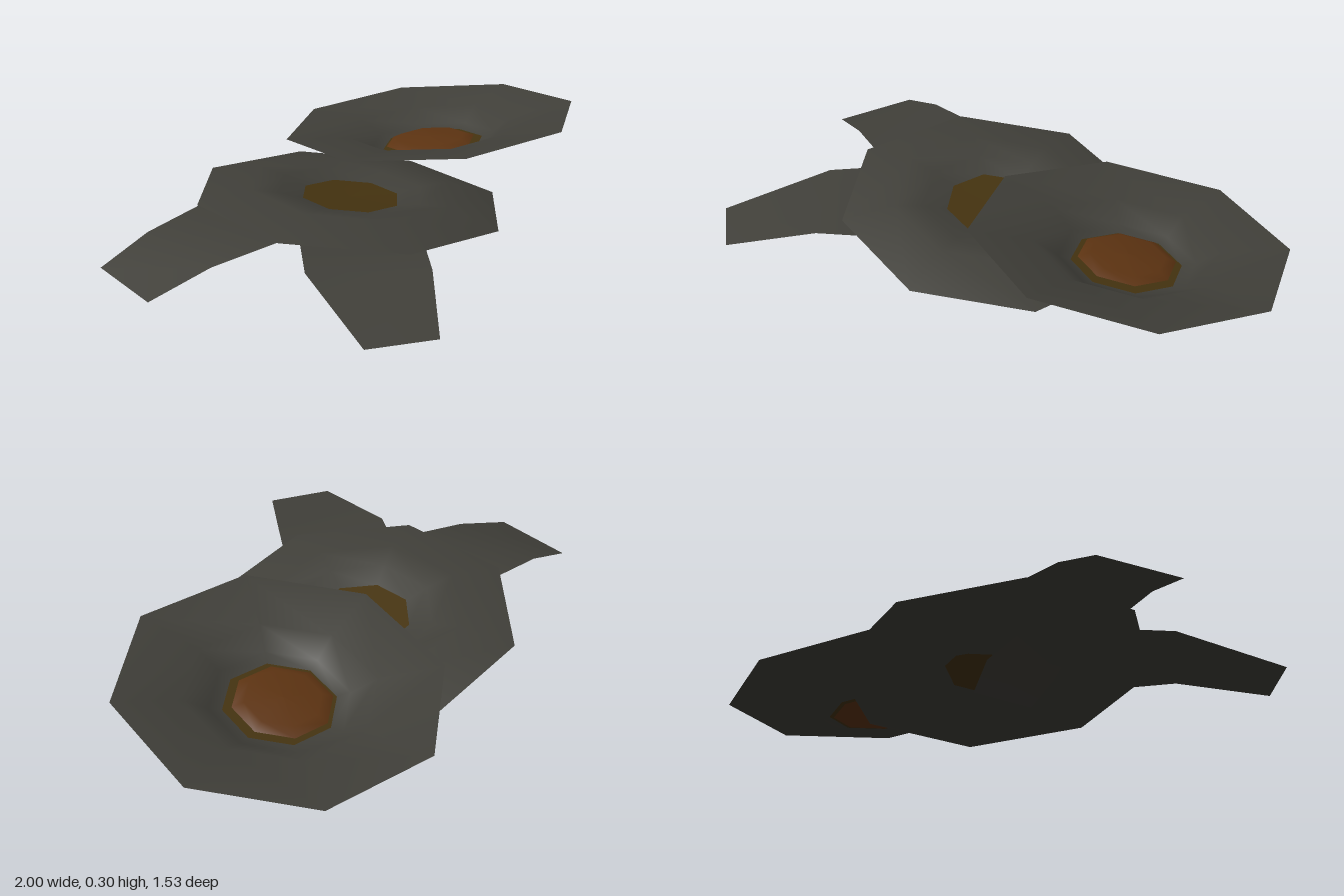
import * as THREE from 'three';

const mat = (name, color) => {
  const m = new THREE.MeshStandardMaterial({ color, side: THREE.DoubleSide });
  m.name = name;
  return m;
};

export function createModel() {
  const model = new THREE.Group();
  const grey = mat('darkGrey', 0x41403a);
  const gold = mat('darkGold', 0x463410);
  const orange = mat('rustOrange', 0x5e3412);

  // Eight-sided surface of revolution; profile runs from the rim inward
  const ring = (name, material, profile, phase) => {
    const pts = profile.map(([r, y]) => new THREE.Vector2(r, y));
    const mesh = new THREE.Mesh(new THREE.LatheGeometry(pts, 8, phase), material);
    mesh.name = name;
    return mesh;
  };

  // Lower dish: raised ring around a shallow gold centre
  const lower = new THREE.Group();
  lower.name = 'lowerDish';
  const pa = Math.PI / 8;
  lower.add(
    ring('lowerDishRim', grey, [[0.548, 0], [0.36, 0.045], [0.26, 0.032], [0.175, 0.01]], pa),
    ring('lowerDishCentre', gold, [[0.175, 0.01], [0.0001, 0.006]], pa),
  );
  lower.position.set(-0.087, 0.125, -0.09);
  lower.rotation.set(-0.012, 0, -0.13);
  model.add(lower);

  // Upper dish: sunken bowl with a raised orange cap
  const upper = new THREE.Group();
  upper.name = 'upperDish';
  const pb = 0.22;
  upper.add(
    ring('upperDishRim', grey, [[0.548, 0], [0.32, -0.026], [0.235, -0.075], [0.19, -0.088]], pb),
    ring('upperDishCentre', gold, [[0.19, -0.088], [0.0001, -0.09]], pb),
    ring('upperDishUnderside', orange, [[0.175, -0.092], [0.0001, -0.095]], pb),
  );
  const cap = ring('orangeCap', orange, [[0.168, -0.08], [0.13, -0.064], [0.0001, -0.06]], pb);
  cap.position.set(-0.006, 0, -0.006);
  upper.add(cap);
  upper.position.set(0.463, 0.227, -0.24);
  upper.rotation.set(-0.135, 0, -0.012);
  model.add(upper);

  // Drooping leaf: rows of point pairs from tip to base
  const leaf = (name, rows) => {
    const geo = new THREE.BufferGeometry();
    geo.setAttribute('position', new THREE.Float32BufferAttribute(rows.flat(2), 3));
    const index = [];
    for (let i = 0; i < rows.length - 1; i++) {
      const a = i * 2;
      index.push(a, a + 1, a + 3, a, a + 3, a + 2);
    }
    geo.setIndex(index);
    geo.computeVertexNormals();
    const mesh = new THREE.Mesh(geo, grey);
    mesh.name = name;
    model.add(mesh);
  };

  leaf('rightLeaf', [
    [[-1, 0.08, -0.02], [-0.97, 0.08, -0.32]].reverse(),
    [[-0.79, 0.145, 0.03], [-0.78, 0.145, -0.32]].reverse(),
    [[-0.57, 0.175, 0.085], [-0.56, 0.175, -0.32]].reverse(),
    [[-0.4, 0.16, 0.05], [-0.4, 0.16, -0.25]].reverse(),
  ]);
  leaf('frontLeaf', [
    [[-0.715, 0.077, 0.65], [-0.51, 0.077, 0.76]],
    [[-0.61, 0.15, 0.27], [-0.3, 0.145, 0.52]],
    [[-0.5, 0.163, 0.12], [-0.19, 0.135, 0.38]],
    [[-0.4, 0.15, 0], [-0.2, 0.13, 0.15]],
  ]);
  leaf('innerLeaf', [
    [[-0.12, 0, 0.03], [-0.12, 0, -0.2]],
    [[-0.25, 0.06, 0.04], [-0.25, 0.06, -0.23]],
    [[-0.45, 0.13, 0], [-0.45, 0.13, -0.18]],
  ]);
  leaf('backLeaf', [
    [[-0.1, 0.06, -0.42], [-0.33, 0.06, -0.42]],
    [[-0.15, 0.12, -0.24], [-0.44, 0.12, -0.24]],
    [[-0.22, 0.13, -0.06], [-0.42, 0.14, -0.06]],
  ]);

  return model;
}
